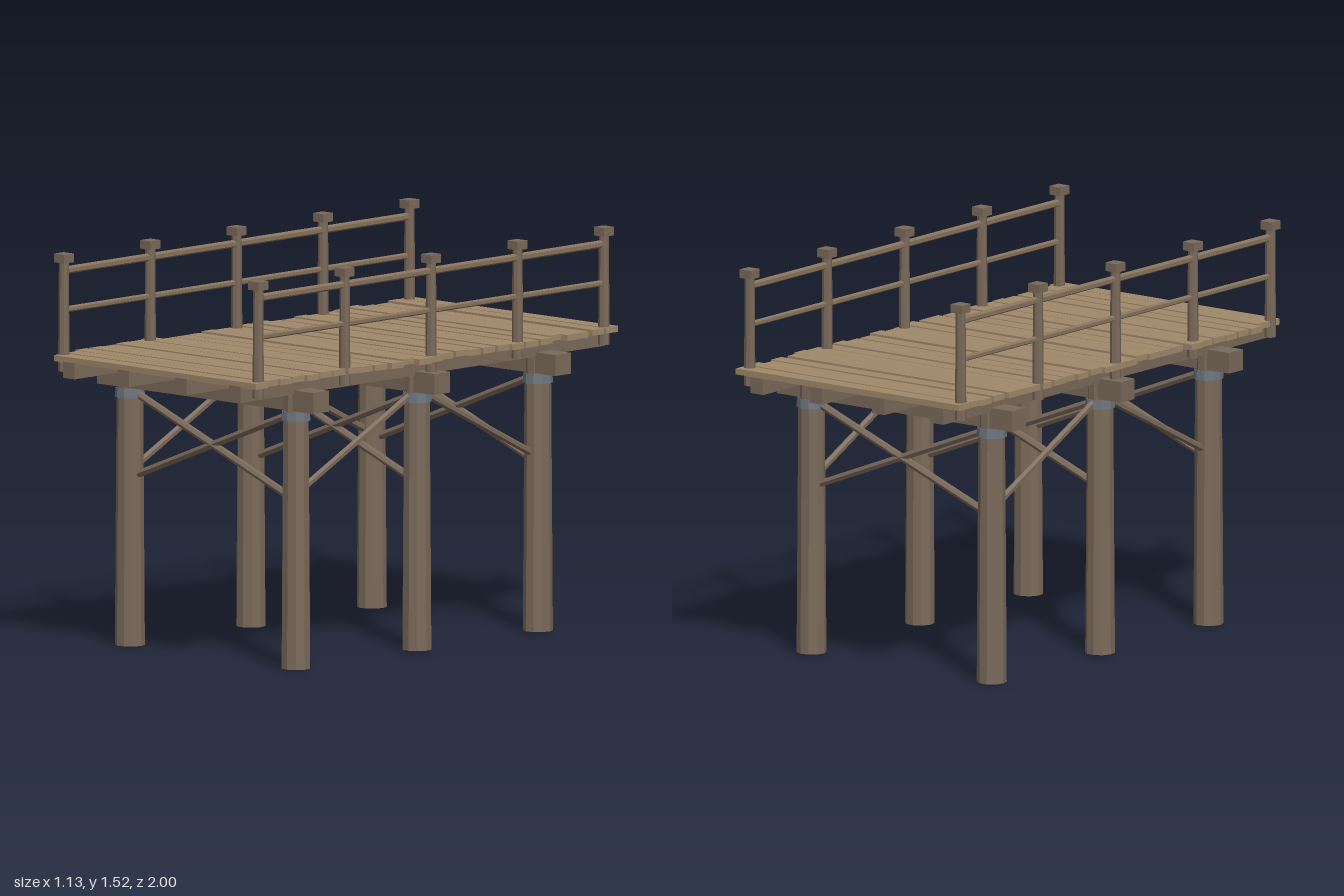
import * as THREE from 'three';

const mat = (name, color) => {
  const m = new THREE.MeshStandardMaterial({ color, flatShading: true });
  m.name = name;
  return m;
};

export function createModel() {
  const plankWood = mat('plank wood', 0xa0886a);
  const timber = mat('dark timber', 0x7a6a5a);
  const railWood = mat('rail wood', 0x86725c);
  const iron = mat('grey iron', 0x6b737d);

  const model = new THREE.Group();
  model.name = 'timberPier';

  // small seeded generator, returns -1..1
  let seed = 17;
  const rnd = () => {
    seed = (seed * 16807) % 2147483647;
    return (seed / 2147483647) * 2 - 1;
  };

  const add = (name, geometry, material, x = 0, y = 0, z = 0) => {
    const mesh = new THREE.Mesh(geometry, material);
    mesh.name = name;
    mesh.position.set(x, y, z);
    model.add(mesh);
    return mesh;
  };
  const box = (name, material, w, h, d, x, y, z) =>
    add(name, new THREE.BoxGeometry(w, h, d), material, x, y, z);

  // round pole between two points
  const pole = (name, material, a, b, r, sides = 6) => {
    const from = new THREE.Vector3(...a);
    const to = new THREE.Vector3(...b);
    const dir = to.clone().sub(from);
    const mesh = add(name, new THREE.CylinderGeometry(r, r, dir.length(), sides), material);
    mesh.position.copy(from).add(to).multiplyScalar(0.5);
    mesh.quaternion.setFromUnitVectors(new THREE.Vector3(0, 1, 0), dir.normalize());
    return mesh;
  };

  // three bents: two piles with iron collars, a cap beam and cross braces
  const pileX = 0.433;
  const bentZ = 0.665;
  for (const z of [-bentZ, 0, bentZ]) {
    for (const x of [-pileX, pileX]) {
      const pile = add('pile', new THREE.CylinderGeometry(0.05, 0.057, 1.05, 10), timber, x, 0.525, z);
      pile.rotation.y = rnd() * 0.3;
      const collar = add('pileCollar', new THREE.CylinderGeometry(0.055, 0.058, 0.035, 10), iron, x, 0.967, z);
      collar.rotation.y = pile.rotation.y;
    }
    box('capBeam', timber, 1.13, 0.08, 0.085, 0, 1.03, z);
    for (const s of [-1, 1]) {
      pole('crossBrace', timber, [s * pileX, 0.98, z], [-s * pileX, 0.64, z], 0.015);
    }
  }

  // braces along each side, falling from the middle piles to the end piles
  for (const x of [-pileX, pileX]) {
    for (const s of [-1, 1]) {
      pole('sideBrace', timber, [x, 0.995, 0], [x, 0.665, s * bentZ], 0.014);
    }
  }

  // stringers under the deck
  for (const x of [-pileX, -0.15, 0.15, pileX]) {
    box('stringer', timber, 0.06, 0.062, 2, x, 1.085, 0);
  }

  // uneven deck planks
  const count = 27;
  const pitch = 0.0741;
  for (let i = 0; i < count; i++) {
    const z = (i - (count - 1) / 2) * pitch;
    const plank = box('deckPlank', plankWood, 1.06 + rnd() * 0.022, 0.023, 0.066 + rnd() * 0.003,
      rnd() * 0.012, 1.124 + rnd() * 0.004, z);
    plank.rotation.y = rnd() * 0.007;
  }

  // railings: posts with square caps and two rails on each side
  for (const x of [-0.507, 0.507]) {
    for (let i = -2; i <= 2; i++) {
      const z = i * 0.475;
      add('railPost', new THREE.CylinderGeometry(0.019, 0.022, 0.42, 8), timber, x, 1.28, z);
      box('postCap', timber, 0.054, 0.033, 0.054, x, 1.503, z);
    }
    pole('topRail', railWood, [x, 1.455, -0.95], [x, 1.455, 0.95], 0.015);
    pole('middleRail', railWood, [x, 1.305, -0.95], [x, 1.305, 0.95], 0.012);
  }

  return model;
}
